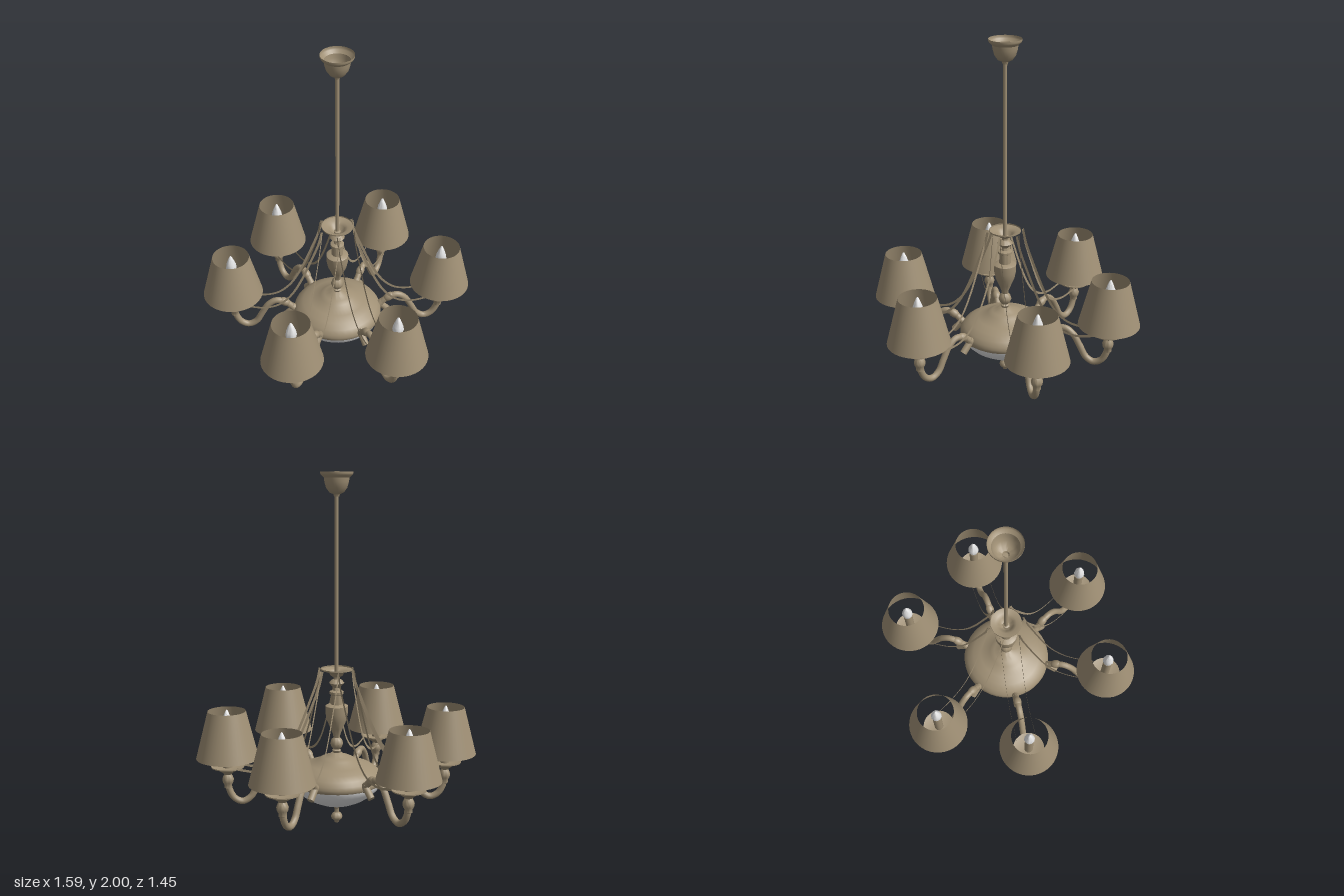
import * as THREE from 'three';
import { toCreasedNormals } from 'three/addons/utils/BufferGeometryUtils.js';

const bronze = new THREE.MeshStandardMaterial({ color: 0xa09075, side: THREE.DoubleSide });
bronze.name = 'antique bronze';
const white = new THREE.MeshStandardMaterial({ color: 0xe6e6e6, side: THREE.DoubleSide });
white.name = 'white glass';

const HUB_Z = -0.01;   // column axis
const REACH = 0.62;    // column axis to shade axis

const v2 = (p) => new THREE.Vector2(p[0], p[1]);

function add(parent, name, geometry, material) {
  const mesh = new THREE.Mesh(geometry, material);
  mesh.name = name;
  parent.add(mesh);
  return mesh;
}

// Turned part from [radius, height] points, listed bottom to top
function turned(points, segments = 32, crease = 0.7) {
  return toCreasedNormals(new THREE.LatheGeometry(points.map(v2), segments), crease);
}

// Flat upright ribbon following [radius, height] points
function ribbon(points, width) {
  const curve = new THREE.SplineCurve(points.map(v2));
  const upper = [], lower = [];
  for (let i = 0; i <= 28; i++) {
    const p = curve.getPoint(i / 28), t = curve.getTangent(i / 28);
    upper.push(new THREE.Vector2(p.x - t.y * width / 2, p.y + t.x * width / 2));
    lower.unshift(new THREE.Vector2(p.x + t.y * width / 2, p.y - t.x * width / 2));
  }
  return new THREE.ShapeGeometry(new THREE.Shape([...upper, ...lower]));
}

// Cylinder between two points in the arm's own upright plane
function peg(parent, name, a, b, r0, r1) {
  const from = new THREE.Vector3(a[0], a[1], 0), to = new THREE.Vector3(b[0], b[1], 0);
  const dir = to.clone().sub(from);
  const mesh = add(parent, name, new THREE.CylinderGeometry(r1, r0, dir.length(), 16), bronze);
  mesh.position.copy(from).add(to).multiplyScalar(0.5);
  mesh.quaternion.setFromUnitVectors(new THREE.Vector3(0, 1, 0), dir.normalize());
  return mesh;
}

// Arm pointing along +x, with its cup, candle, bulb, shade and ribbons
function createArm(geo) {
  const arm = new THREE.Group();
  add(arm, 'curvedArm', geo.tube, bronze);

  const knot = add(arm, 'armKnot', geo.knot, bronze);
  knot.position.set(0.315, 0.332, 0);
  knot.rotation.z = 0.55;
  knot.scale.set(1.5, 1, 1);
  peg(arm, 'armPlug', [0.255, 0.29], [0.315, 0.228], 0.02, 0.02);
  peg(arm, 'armSocket', [0.235, 0.262], [0.275, 0.3], 0.026, 0.02);

  const holder = new THREE.Group();
  holder.name = 'lampHolder';
  holder.position.x = REACH;
  arm.add(holder);
  add(holder, 'dripCup', geo.cup, bronze);
  add(holder, 'candleSleeve', geo.candle, bronze);
  add(holder, 'bulb', geo.bulb, white);
  add(holder, 'shade', geo.shade, bronze);

  for (const side of [-1, 1]) {
    const strip = add(arm, 'hangingRibbon', geo.ribbon, bronze);
    strip.position.z = side * 0.055;
    strip.rotation.y = -side * 0.008;
  }
  return arm;
}

export function createModel() {
  const model = new THREE.Group();
  model.name = 'chandelier';
  const hub = new THREE.Group();
  hub.name = 'hub';
  hub.position.z = HUB_Z;
  model.add(hub);

  // Ceiling cup, open at the top, and the long rod
  add(hub, 'ceilingCup', turned([
    [0, 1.865], [0.014, 1.865], [0.018, 1.878], [0.04, 1.888], [0.058, 1.913],
    [0.067, 1.945], [0.07, 1.968], [0.086, 1.982], [0.09, 1.99], [0.09, 2.0],
  ]), bronze);
  const rod = add(hub, 'rod', new THREE.CylinderGeometry(0.011, 0.011, 1.0, 16), bronze);
  rod.position.y = 1.37;

  // Crown dish carrying the ribbons
  add(hub, 'crownDish', turned([
    [0.02, 0.862], [0.034, 0.87], [0.042, 0.885], [0.06, 0.897], [0.09, 0.903], [0.09, 0.911],
  ]), bronze);

  // Turned column
  add(hub, 'column', turned([
    [0.02, 0.42], [0.026, 0.435], [0.018, 0.442], [0.03, 0.455], [0.037, 0.475],
    [0.03, 0.498], [0.018, 0.51], [0.022, 0.53], [0.036, 0.565], [0.055, 0.61],
    [0.063, 0.65], [0.064, 0.695], [0.056, 0.7], [0.034, 0.705], [0.032, 0.76],
    [0.04, 0.765], [0.04, 0.778], [0.02, 0.785], [0.017, 0.8], [0.032, 0.815],
    [0.043, 0.828], [0.032, 0.842], [0.018, 0.85], [0.02, 0.87], [0, 0.88],
  ]), bronze);

  // Central body, glass bowl and finial
  add(hub, 'bodyCover', turned([
    [0.257, 0.252], [0.263, 0.262], [0.263, 0.275], [0.258, 0.292], [0.24, 0.316],
    [0.205, 0.34], [0.16, 0.358], [0.12, 0.37], [0.1, 0.386], [0.075, 0.398],
    [0.045, 0.408], [0.03, 0.42], [0.0, 0.425],
  ], 40), bronze);
  add(hub, 'glassBowl', turned([
    [0, 0.112], [0.06, 0.116], [0.11, 0.13], [0.16, 0.153], [0.205, 0.183],
    [0.238, 0.216], [0.254, 0.243], [0.257, 0.256],
  ], 40), white);
  add(hub, 'finial', turned([
    [0, 0], [0.012, 0.003], [0.016, 0.014], [0.03, 0.026], [0.033, 0.038],
    [0.027, 0.054], [0.014, 0.064], [0.013, 0.085], [0.02, 0.098], [0.035, 0.108], [0.04, 0.118],
  ], 24), bronze);

  // Shared shapes for the arms
  const path = new THREE.CatmullRomCurve3([
    [REACH, 0.28], [0.612, 0.225], [0.583, 0.175], [0.538, 0.155], [0.492, 0.18],
    [0.455, 0.245], [0.415, 0.312], [0.368, 0.344], [0.32, 0.335], [0.245, 0.272],
  ].map(([x, y]) => new THREE.Vector3(x, y, 0)));
  const geo = {
    tube: new THREE.TubeGeometry(path, 40, 0.019, 12),
    knot: new THREE.SphereGeometry(0.025, 16, 10),
    cup: turned([
      [0.014, 0.235], [0.022, 0.24], [0.022, 0.258], [0.03, 0.272], [0.033, 0.29],
      [0.026, 0.308], [0.02, 0.318], [0.03, 0.328], [0.045, 0.338], [0.06, 0.35],
      [0.093, 0.361], [0.093, 0.367], [0.06, 0.36], [0, 0.358],
    ], 28),
    candle: new THREE.CylinderGeometry(0.026, 0.026, 0.22, 20).translate(0, 0.468, 0),
    bulb: turned([
      [0.012, 0.57], [0.027, 0.585], [0.032, 0.605], [0.028, 0.632], [0.016, 0.665],
      [0.006, 0.688], [0, 0.693],
    ], 10),
    shade: new THREE.CylinderGeometry(0.107, 0.176, 0.27, 40, 1, true).translate(0, 0.55, 0),
    ribbon: ribbon([
      [0.088, 0.905], [0.107, 0.82], [0.145, 0.715], [0.215, 0.54], [0.28, 0.425],
      [0.355, 0.358], [0.44, 0.338], [0.52, 0.35], [0.57, 0.362],
    ], 0.014),
  };

  // Six arms, slightly unevenly spaced, by shade direction [x, z] from the hub
  const directions = [
    [0.615, -0.058], [0.305, -0.543], [-0.36, -0.51],
    [-0.62, -0.013], [-0.27, 0.555], [0.31, 0.536],
  ];
  directions.forEach(([x, z], i) => {
    const arm = createArm(geo);
    arm.name = 'arm' + (i + 1);
    arm.rotation.y = -Math.atan2(z, x);
    hub.add(arm);
  });
  return model;
}
